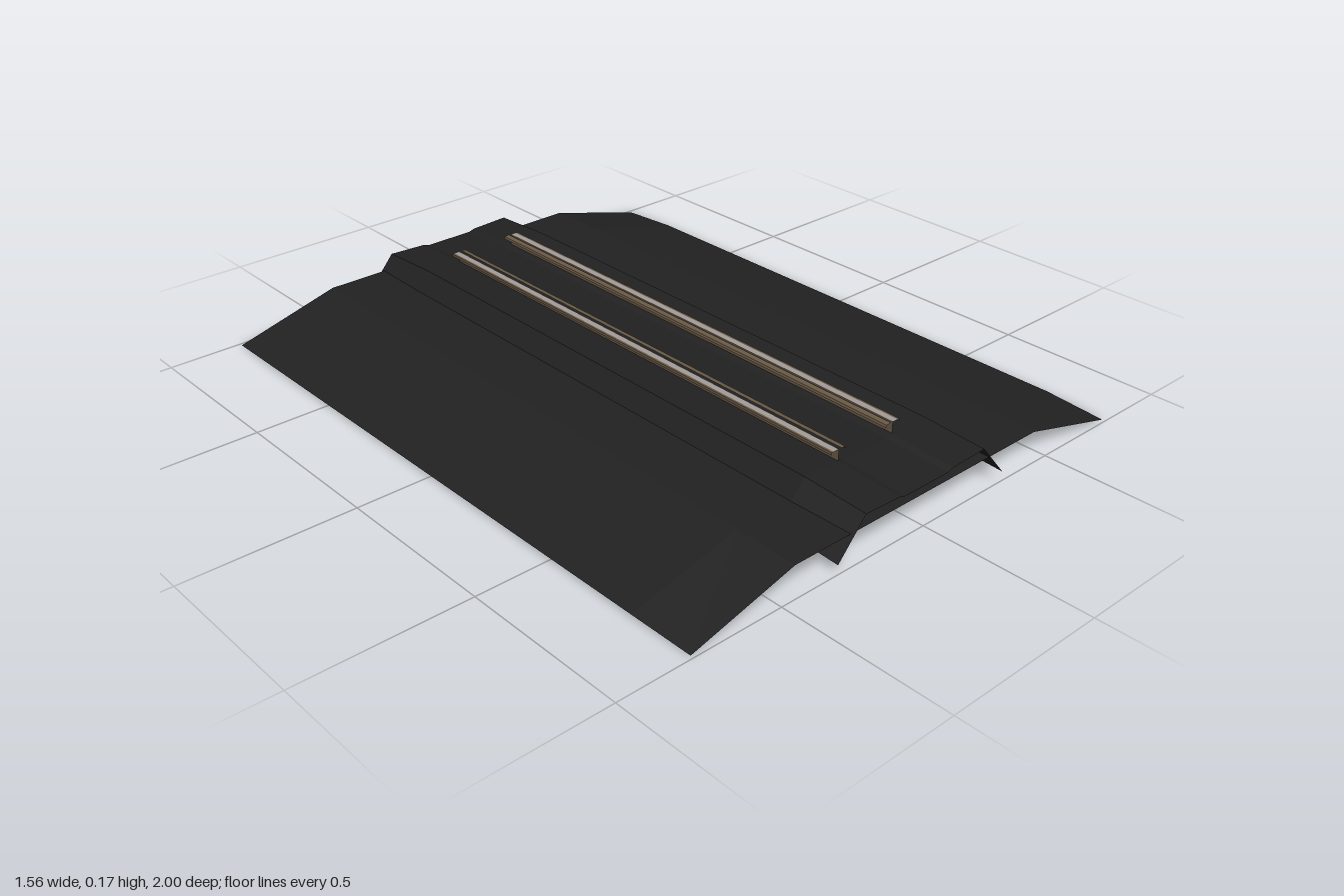
import * as THREE from 'three';

const mat = (name, color) => {
  const m = new THREE.MeshStandardMaterial({ color, side: THREE.DoubleSide, flatShading: true });
  m.name = name;
  return m;
};

// Open sheet lofted through cross-sections: rows of { z, points: [[x, y], ...] }
function sheet(name, rows, material) {
  const pos = [];
  for (let r = 0; r < rows.length - 1; r++) {
    const a = rows[r], b = rows[r + 1];
    for (let i = 0; i < a.points.length - 1; i++) {
      const p = [...a.points[i], a.z], q = [...a.points[i + 1], a.z];
      const s = [...b.points[i], b.z], t = [...b.points[i + 1], b.z];
      pos.push(...p, ...s, ...q, ...q, ...s, ...t);
    }
  }
  const g = new THREE.BufferGeometry();
  g.setAttribute('position', new THREE.Float32BufferAttribute(pos, 3));
  g.computeVertexNormals();
  const mesh = new THREE.Mesh(g, material);
  mesh.name = name;
  return mesh;
}

// Mirrors a right-hand half profile into a full one running from -x to +x
const mirrored = half => [...half.map(([x, y]) => [-x, y]).reverse(), ...half];

export function createModel() {
  const model = new THREE.Group();
  model.name = 'railwayTrack';
  const earth = mat('dark earth', 0x222222);
  const gravel = mat('dark gravel', 0x212121);
  const steel = mat('polished steel', 0xa39d98);
  const rust = mat('rusty brown', 0x6b5a47);

  // Embankment: flat crown with sloping sides, easing down at both ends
  const bankMid = mirrored([[0.45, 0.09], [0.782, 0.008]]);
  const bankEnd = mirrored([[0.45, 0.088], [0.775, 0]]);
  model.add(sheet('embankment', [
    { z: -0.99, points: bankEnd }, { z: -0.8, points: bankMid },
    { z: 0.8, points: bankMid }, { z: 0.99, points: bankEnd },
  ], earth));

  // Ballast bed: shallow trough between shoulders, lower at the ends
  const bed = drop => mirrored([
    [0.08, 0.131 - drop], [0.10, 0.137 - drop], [0.222, 0.142 - drop], [0.312, 0.038 - drop],
  ]);
  model.add(sheet('ballastBed', [
    { z: -1, points: bed(0.01) }, { z: -0.8, points: bed(0) },
    { z: 0.8, points: bed(0) }, { z: 1, points: bed(0.01) },
  ], gravel));

  // Rails: thin strips running along the bed
  for (const side of [1, -1]) {
    const rail = new THREE.Group();
    rail.name = side > 0 ? 'leftRail' : 'rightRail';
    const strip = (name, points, material) => {
      const p = points.map(([x, y]) => [x * side, y]);
      if (side < 0) p.reverse();
      rail.add(sheet(name, [{ z: -0.8, points: p }, { z: 0.8, points: p }], material));
    };
    strip('railHead', [[0.101, 0.171], [0.12, 0.171]], steel);
    strip('outerLip', [[0.12, 0.171], [0.127, 0.171], [0.127, 0.163]], rust);
    strip('innerLip', [[0.075, 0.163], [0.077, 0.17], [0.093, 0.172]], rust);
    strip('railWeb', [[0.101, 0.171], [0.101, 0.135]], rust);
    model.add(rail);
  }
  return model;
}
